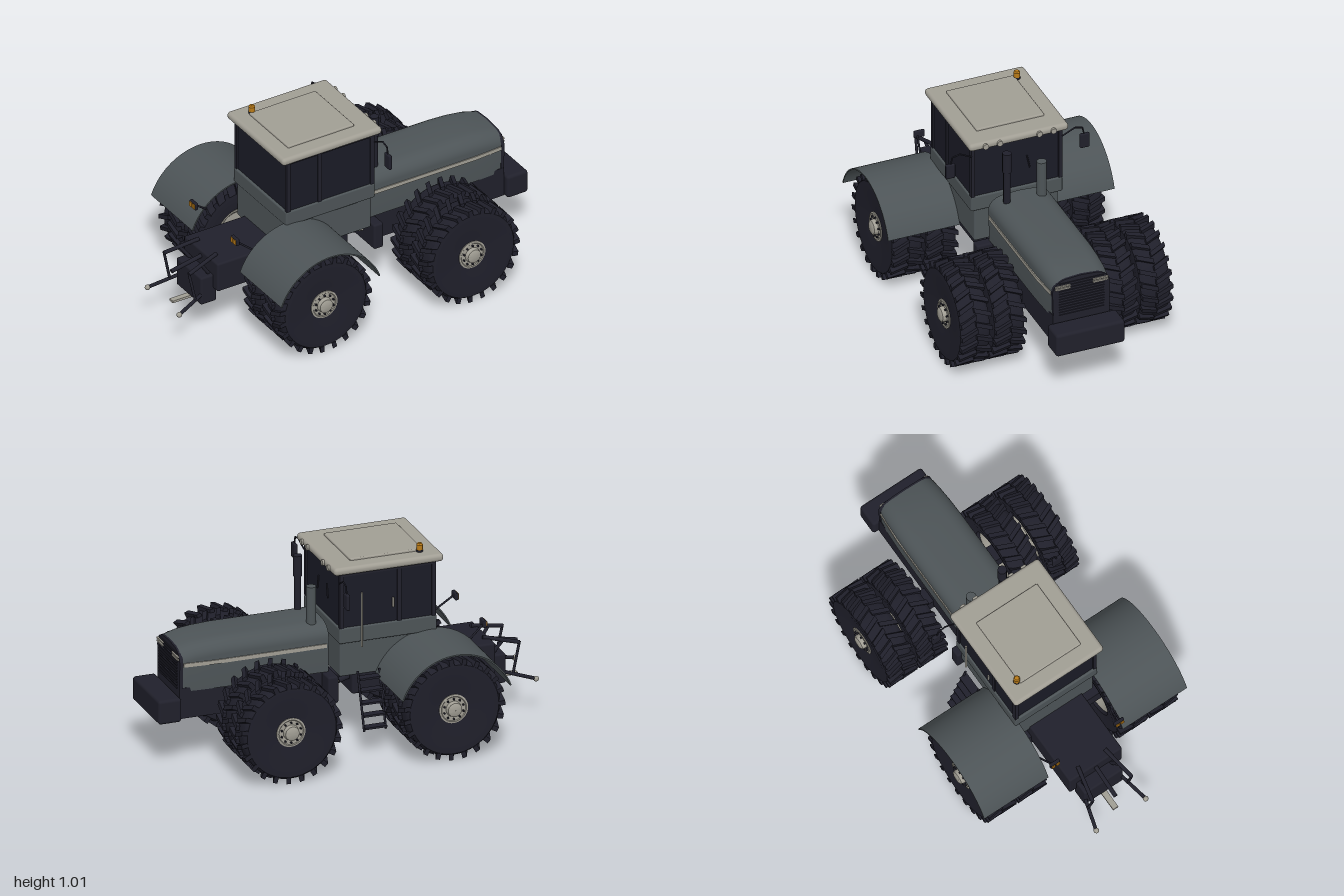
import * as THREE from 'three';
import { mergeGeometries, toCreasedNormals } from 'three/addons/utils/BufferGeometryUtils.js';
import { RoundedBoxGeometry } from 'three/addons/geometries/RoundedBoxGeometry.js';

const paint = (name, color) => Object.assign(new THREE.MeshStandardMaterial({ color }), { name });

export function createModel() {
  const model = new THREE.Group();
  model.name = 'tractor';
  const grey = paint('body grey', 0x4d5457);
  const cream = paint('cream', 0xa19e94);
  const dark = paint('dark frame', 0x20202b);
  const rubber = paint('rubber', 0x1f1f2a);
  const glass = paint('dark glass', 0x1a1b26);
  const orange = paint('orange', 0xb87a18);

  function add(name, geo, mat, parent = model) {
    const m = new THREE.Mesh(geo, mat);
    m.name = name;
    parent.add(m);
    return m;
  }
  // Box given by its extents on each axis; r rounds the edges
  function box(name, mat, [x0, x1], [y0, y1], [z0, z1], r = 0, parent = model) {
    const s = [x1 - x0, y1 - y0, z1 - z0];
    const g = r ? new RoundedBoxGeometry(...s, 3, r) : new THREE.BoxGeometry(...s);
    g.translate((x0 + x1) / 2, (y0 + y1) / 2, (z0 + z1) / 2);
    return add(name, g, mat, parent);
  }
  // Round bar between two points
  function rod(name, mat, a, b, r, parent = model) {
    const p = new THREE.Vector3(...a), q = new THREE.Vector3(...b);
    const m = add(name, new THREE.CylinderGeometry(r, r, p.distanceTo(q), 12), mat, parent);
    m.position.copy(p).add(q).multiplyScalar(0.5);
    m.quaternion.setFromUnitVectors(new THREE.Vector3(0, 1, 0), q.sub(p).normalize());
    return m;
  }
  const lathe = (pts, seg = 40) => toCreasedNormals(
    new THREE.LatheGeometry(pts.map(p => new THREE.Vector2(...p)), seg), 0.6);

  // Wheels: outer face towards +z
  const tyreGeo = lathe([[0.125, -0.05], [0.14, -0.07], [0.2, -0.08], [0.232, -0.078], [0.245, -0.06],
    [0.247, 0], [0.245, 0.06], [0.232, 0.078], [0.2, 0.08], [0.1, 0.066], [0.065, 0.064]], 48).rotateX(Math.PI / 2);
  const rimGeo = lathe([[0.001, -0.03], [0.09, -0.03], [0.115, -0.055], [0.128, -0.058], [0.128, -0.04]])
    .rotateX(Math.PI / 2);
  const discGeo = lathe([[0.075, 0.06], [0.075, 0.069], [0.066, 0.071], [0.062, 0.067], [0.04, 0.067],
    [0.036, 0.088], [0.026, 0.094], [0.001, 0.094]]).rotateX(Math.PI / 2);
  const lugs = [], bolts = [], LUGS = 23;
  for (let i = 0; i < LUGS; i++) for (const s of [-1, 1]) {
    const g = new THREE.BoxGeometry(0.024, 0.032, 0.084).translate(0, 0, s * 0.039);
    const p = g.attributes.position;
    for (let k = 0; k < p.count; k++) p.setX(k, p.getX(k) + Math.abs(p.getZ(k)) * 0.45);
    g.computeVertexNormals();
    lugs.push(g.translate(-0.018, 0.248, 0).rotateZ((i + (s > 0 ? 0.5 : 0)) / LUGS * Math.PI * 2));
  }
  for (let i = 0; i < 10; i++) bolts.push(new THREE.CylinderGeometry(0.005, 0.005, 0.012, 6)
    .rotateX(Math.PI / 2).translate(0, 0.052, 0.071).rotateZ(i / 10 * Math.PI * 2));
  const treadGeo = mergeGeometries(lugs), boltGeo = mergeGeometries(bolts);
  for (const x of [-0.4, 0.45]) for (const side of [-1, 1]) for (const z of [0.298, 0.478]) {
    const wheel = new THREE.Group();
    wheel.name = 'wheel';
    add('tyre', tyreGeo, rubber, wheel);
    add('tread', treadGeo, rubber, wheel);
    add('innerRim', rimGeo, cream, wheel).material.side = THREE.DoubleSide;
    add('hub', discGeo, cream, wheel);
    add('hubBolts', boltGeo, dark, wheel);
    wheel.position.set(x, 0.267, side * z);
    if (side < 0) wheel.rotation.y = Math.PI;
    model.add(wheel);
  }

  // Chassis, axles and steering joint
  box('frontFrame', dark, [0.12, 0.88], [0.25, 0.41], [-0.15, 0.15]);
  box('frontBulkhead', dark, [0.08, 0.135], [0.25, 0.39], [-0.235, 0.235], 0.01);
  box('rearFrame', dark, [-0.77, -0.02], [0.25, 0.41], [-0.155, 0.155], 0.01);
  box('frontWeight', dark, [0.88, 1.0], [0.245, 0.37], [-0.182, 0.182], 0.015);
  for (const x of [-0.4, 0.45]) box('axle', dark, [x - 0.042, x + 0.042], [0.225, 0.31], [-0.36, 0.36]);
  rod('driveShaft', dark, [-0.05, 0.32, 0], [0.1, 0.31, 0], 0.03);
  for (const s of [-1, 1]) {
    rod('steeringCylinder', dark, [-0.05, 0.335, s * 0.1], [0.04, 0.32, s * 0.12], 0.014);
    rod('steeringPiston', cream, [0.03, 0.321, s * 0.118], [0.1, 0.31, s * 0.13], 0.008);
  }

  // Hood lofted from rounded cross-sections
  function section(w, top) {
    const pts = [[w - 0.005, 0.39]];
    for (let i = 0; i <= 8; i++) {
      const a = i / 8 * Math.PI / 2;
      pts.push([w - 0.085 + 0.085 * Math.cos(a), top - 0.075 + 0.07 * Math.sin(a)]);
    }
    pts.push([0, top]);
    return pts.concat(pts.slice(0, -1).reverse().map(([z, y]) => [-z, y]));
  }
  const stations = [[0.11, 0.163, 0.642], [0.62, 0.163, 0.642], [0.72, 0.161, 0.638], [0.8, 0.157, 0.63], [0.87, 0.15, 0.614]];
  const pos = [], index = [];
  stations.forEach(([x, w, t], s) => {
    const ring = section(w, t), n = ring.length;
    ring.forEach(([z, y], k) => {
      pos.push(x, y, z);
      if (s < stations.length - 1 && k < n - 1) {
        const a = s * n + k, b = a + n;
        index.push(a, b, b + 1, a, b + 1, a + 1);
      }
    });
  });
  const hood = new THREE.BufferGeometry();
  hood.setAttribute('position', new THREE.Float32BufferAttribute(pos, 3));
  hood.setIndex(index);
  add('hood', toCreasedNormals(hood, 0.6), grey);
  const slab = (w, t, x, d) => new THREE.ExtrudeGeometry(
    new THREE.Shape(section(w, t).map(p => new THREE.Vector2(...p))), { depth: d, bevelEnabled: false })
    .rotateY(Math.PI / 2).translate(x, 0, 0);
  add('hoodBack', slab(0.163, 0.642, 0.105, 0.006), grey);
  add('grille', slab(0.153, 0.612, 0.862, 0.018), dark);
  for (let i = 0; i < 13; i++) {
    const y = 0.4 + i * 0.015;
    box('grilleSlat', dark, [0.878, 0.885], [y, y + 0.007], [-0.12, 0.12]);
  }
  for (const s of [-1, 1]) {
    const z = s * 0.164;
    box('hoodStripe', cream, [0.115, 0.71], [0.52, 0.54], [z - 0.003, z + 0.003]);
    const end = box('hoodStripeEnd', cream, [0, 0.15], [0.52, 0.54], [-0.003, 0.003]);
    end.position.set(0.71, 0, z);
    end.rotation.y = s * 0.07;
    for (const y of [0.553, 0.567]) box('headlight', cream, [0.88, 0.888], [y, y + 0.008],
      [s * 0.085 - 0.04 + s * 0.015, s * 0.085 + 0.04 + s * 0.015]);
  }

  // Exhaust stack and air intake
  rod('exhaustStack', grey, [0.17, 0.62, -0.092], [0.17, 0.825, -0.092], 0.025);
  rod('airIntake', dark, [0.17, 0.62, 0.092], [0.17, 0.82, 0.092], 0.018);
  rod('airIntakeTop', dark, [0.17, 0.81, 0.092], [0.17, 0.918, 0.092], 0.023);

  // Cab
  box('cabBase', grey, [-0.425, 0.07], [0.38, 0.565], [-0.222, 0.222], 0.008);
  box('cabBelt', grey, [-0.43, 0.08], [0.56, 0.642], [-0.243, 0.243], 0.008);
  box('cabWindows', glass, [-0.418, 0.07], [0.64, 0.93], [-0.234, 0.234]);
  for (const s of [-1, 1]) {
    for (const x of [-0.415, -0.235, 0.067]) box('cabPillar', dark, [x - 0.011, x + 0.011], [0.64, 0.93],
      [s * 0.232 - 0.009, s * 0.232 + 0.009]);
    box('windowRail', dark, [-0.42, 0.075], [0.912, 0.93], [s * 0.236 - 0.004, s * 0.236 + 0.004]);
    rod('wiper', dark, [0.075, 0.74, s * 0.07], [0.075, 0.81, s * 0.055], 0.004);
  }
  rod('doorHandle', cream, [-0.2, 0.72, -0.245], [-0.2, 0.77, -0.245], 0.005);
  rod('handrail', cream, [-0.03, 0.54, -0.26], [-0.03, 0.825, -0.26], 0.005);
  box('roof', cream, [-0.46, 0.112], [0.926, 0.966], [-0.263, 0.263], 0.018);
  box('roofPanel', cream, [-0.38, 0], [0.955, 0.977], [-0.18, 0.18], 0.006);
  rod('beaconBase', dark, [-0.36, 0.96, -0.187], [-0.36, 0.977, -0.187], 0.017);
  add('beacon', lathe([[0.016, 0.975], [0.016, 1.003], [0.011, 1.01], [0.001, 1.011]], 20), orange)
    .position.set(-0.36, 0, -0.187);
  for (const z of [-0.18, -0.105, 0.105, 0.18])
    rod('roofLight', cream, [0.1, 0.945, z], [0.12, 0.945, z], 0.015);

  for (const s of [-1, 1]) {
    // Mirror on a bent arm
    rod('mirrorArm', dark, [0.08, 0.88, s * 0.24], [0.085, 0.915, s * 0.305], 0.004);
    rod('mirrorArm', dark, [0.085, 0.915, s * 0.305], [0.085, 0.905, s * 0.345], 0.004);
    rod('mirrorArm', dark, [0.085, 0.905, s * 0.345], [0.085, 0.86, s * 0.355], 0.004);
    box('mirror', dark, [0.076, 0.094], [0.79, 0.87], [s * 0.356 - 0.025, s * 0.356 + 0.025], 0.006);

    // Rear fender shell
    const arc = new THREE.Shape();
    arc.absarc(0, 0, 0.302, 0.33, Math.PI - 0.35, false);
    arc.absarc(0, 0, 0.295, Math.PI - 0.35, 0.33, true);
    const shell = new THREE.ExtrudeGeometry(arc, { depth: 0.38, bevelEnabled: false, curveSegments: 32 });
    add('rearFender', toCreasedNormals(shell, 0.5), grey).position.set(-0.398, 0.269, s > 0 ? 0.22 : -0.6);

    // Rear lamp
    rod('lampStem', dark, [-0.6, 0.47, s * 0.22], [-0.688, 0.54, s * 0.2], 0.005);
    box('lampHousing', dark, [-0.7, -0.682], [0.525, 0.562], [s * 0.19 - 0.028, s * 0.19 + 0.028], 0.005);
    for (const d of [-0.013, 0.013]) box('lampLens', orange, [-0.704, -0.699], [0.531, 0.556],
      [s * 0.19 + d - 0.01, s * 0.19 + d + 0.01]);

    // Three-point hitch arms
    rod('lowerLink', dark, [-0.77, 0.25, s * 0.09], [-0.98, 0.19, s * 0.145], 0.009);
    add('linkBall', new THREE.SphereGeometry(0.014, 14, 10), cream).position.set(-0.985, 0.188, s * 0.146);
    rod('liftArm', dark, [-0.73, 0.42, s * 0.08], [-0.91, 0.38, s * 0.115], 0.01);
    rod('liftRod', dark, [-0.91, 0.385, s * 0.115], [-0.875, 0.22, s * 0.118], 0.007);
    rod('liftCylinder', dark, [-0.76, 0.3, s * 0.08], [-0.83, 0.4, s * 0.1], 0.009);
  }
  box('hitchBlock', dark, [-0.84, -0.75], [0.175, 0.33], [-0.115, 0.115], 0.01);
  rod('topLink', dark, [-0.76, 0.38, 0], [-0.94, 0.345, 0], 0.011);
  box('drawbar', cream, [-0.94, -0.74], [0.168, 0.18], [-0.015, 0.015]);

  // Boarding ladder on the door side
  for (const x of [-0.125, -0.012]) rod('ladderRail', dark, [x, 0.41, -0.25], [x, 0.125, -0.34], 0.006);
  for (let i = 0; i < 5; i++) {
    const y = 0.14 + i * 0.058, z = -0.337 + i * 0.018;
    box('ladderStep', dark, [-0.125, -0.012], [y, y + 0.01], [z - 0.022, z + 0.022]);
  }
  return model;
}
